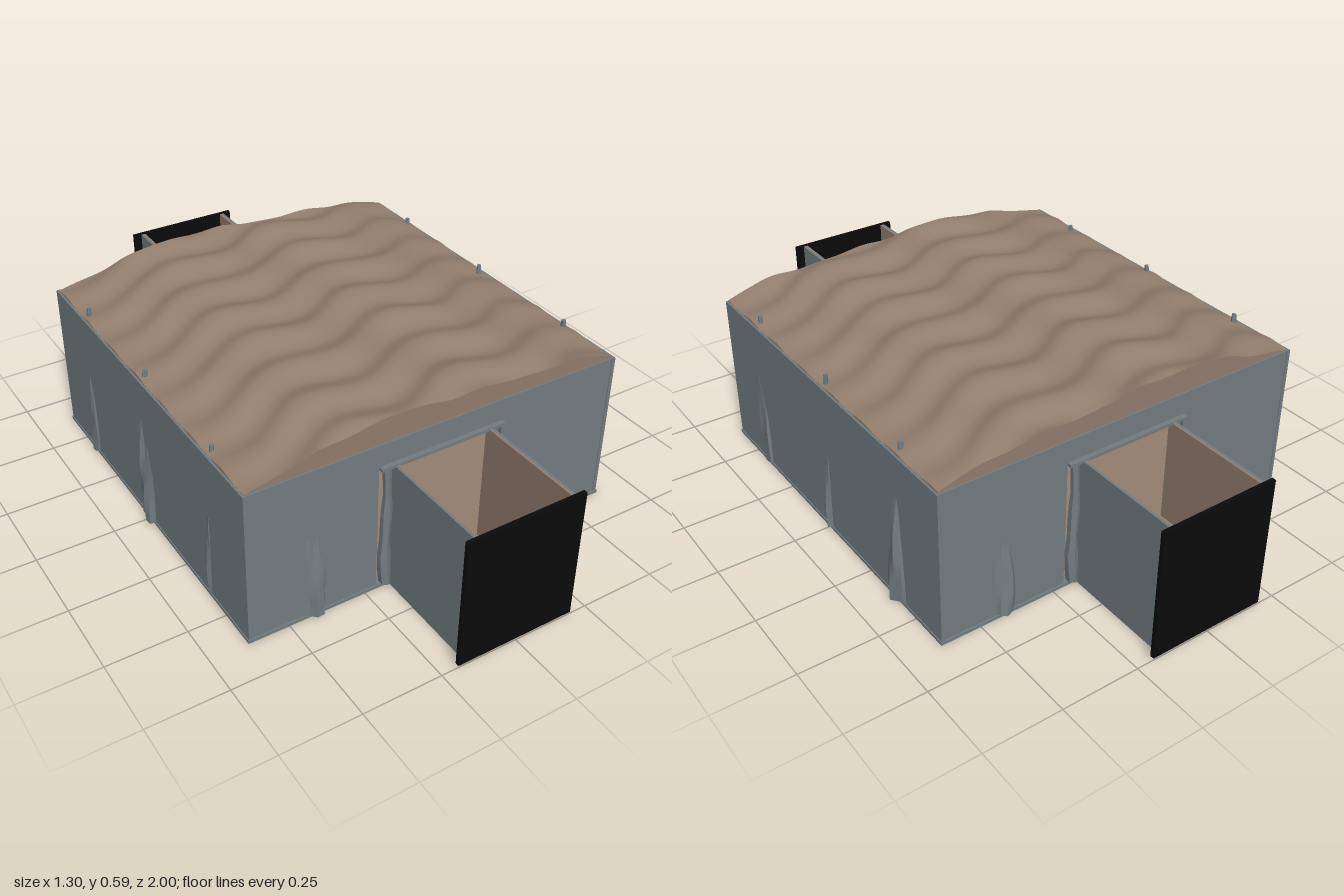
import * as THREE from 'three';
import { toCreasedNormals } from 'three/addons/utils/BufferGeometryUtils.js';

const mat = (name, color, side = THREE.FrontSide) => {
  const m = new THREE.MeshStandardMaterial({ color, side });
  m.name = name;
  return m;
};

export function createModel() {
  const stone = mat('grey stone', 0x727c80);
  const sand = mat('brown sand', 0x917d6d);
  const sandSheet = mat('brown sand sheet', 0x917d6d, THREE.DoubleSide);
  const black = mat('black door', 0x0b0b0b);
  const model = new THREE.Group();
  model.name = 'caveRoom';

  const add = (parent, name, geo, material, x = 0, y = 0, z = 0) => {
    const m = new THREE.Mesh(geo, material);
    m.name = name;
    m.position.set(x, y, z);
    parent.add(m);
    return m;
  };
  const box = (parent, name, material, x0, x1, y0, y1, z0, z1) =>
    add(parent, name, new THREE.BoxGeometry(x1 - x0, y1 - y0, z1 - z0), material,
      (x0 + x1) / 2, (y0 + y1) / 2, (z0 + z1) / 2);

  // Wall with a doorway notch, extruded along z
  const doorWall = (halfWidth) => {
    const s = new THREE.Shape();
    [[-halfWidth, 0.01], [-0.21, 0.01], [-0.21, 0.43], [0.21, 0.43], [0.21, 0.01],
      [halfWidth, 0.01], [halfWidth, 0.505], [-halfWidth, 0.505]]
      .forEach(([x, y], i) => (i ? s.lineTo(x, y) : s.moveTo(x, y)));
    return new THREE.ExtrudeGeometry(s, { depth: 0.01, bevelEnabled: false });
  };

  // Room floor and side walls, grey outside and brown inside
  box(model, 'roomBase', stone, -0.63, 0.63, 0, 0.01, -0.63, 0.63);
  box(model, 'roomFloor', sand, -0.605, 0.605, 0.01, 0.018, -0.605, 0.605);
  for (const s of [-1, 1]) {
    const side = new THREE.Group();
    side.name = s > 0 ? 'leftSide' : 'rightSide';
    side.rotation.y = s > 0 ? 0 : Math.PI;
    box(side, 'sideWall', stone, 0.615, 0.627, 0.01, 0.505, -0.627, 0.627);
    box(side, 'sideLining', sand, 0.605, 0.615, 0.01, 0.505, -0.615, 0.615);
    model.add(side);
  }

  // Doorway wall with its corridor; patches are [x, z, half width, half length]
  const makePortal = (name, patches) => {
    const g = new THREE.Group();
    g.name = name;
    add(g, 'doorWall', doorWall(0.615), stone, 0, 0, 0.615);
    add(g, 'doorLining', doorWall(0.605), sand, 0, 0, 0.605);
    box(g, 'corridorBase', stone, -0.168, 0.168, 0, 0.01, 0.63, 0.99);
    box(g, 'corridorFloor', sand, -0.155, 0.155, 0.01, 0.018, 0.605, 0.985);
    box(g, 'frameLintel', stone, -0.21, 0.21, 0.424, 0.434, 0.605, 0.64);
    for (const s of [-1, 1]) {
      const wall = (n, m, a, b) =>
        box(g, n, m, Math.min(s * a, s * b), Math.max(s * a, s * b), 0.01, 0.43, 0.625, 0.987);
      wall('corridorWall', stone, 0.16, 0.168);
      wall('corridorLining', sand, 0.153, 0.16);
      // Rough jamb post, flaring at the foot
      const post = new THREE.CylinderGeometry(0.012, 0.02, 0.42, 6, 8);
      const p = post.attributes.position;
      for (let i = 0; i < p.count; i++) {
        const y = p.getY(i);
        p.setX(i, p.getX(i) * (1 + 0.2 * Math.sin(y * 37)) + 0.003 * Math.sin(y * 19));
      }
      add(g, 'jambPost', toCreasedNormals(post, 0.6), stone, s * 0.183, 0.22, 0.625);
    }
    patches.forEach(([x, z, w, l]) => {
      const patch = add(g, 'floorPatch', new THREE.CircleGeometry(1, 16), stone, x, 0.0195, z);
      patch.rotation.x = -Math.PI / 2;
      patch.scale.set(w, l, 1);
    });
    box(g, 'doorPanel', black, -0.195, 0.195, 0.005, 0.432, 0.987, 1);
    model.add(g);
    return g;
  };
  makePortal('frontPortal', [[-0.07, 0.93, 0.035, 0.05], [0.13, 0.96, 0.025, 0.022],
    [-0.14, 0.97, 0.012, 0.014], [0.035, 0.968, 0.02, 0.014], [0.135, 0.665, 0.02, 0.03],
    [-0.09, 0.65, 0.025, 0.02]]);
  makePortal('backPortal', [[0.13, 0.96, 0.025, 0.022], [-0.065, 0.935, 0.035, 0.047],
    [0.04, 0.965, 0.02, 0.018], [-0.14, 0.95, 0.015, 0.03], [-0.135, 0.66, 0.018, 0.025],
    [-0.02, 0.65, 0.02, 0.02]]).rotation.y = Math.PI;

  // Domed, rippled sand roof; the outer ring drops as a skirt onto the walls
  const n = 90;
  const roof = new THREE.PlaneGeometry(2, 2, n, n).rotateX(-Math.PI / 2);
  const rp = roof.attributes.position;
  const edge = 1 - 2 / n;
  for (let i = 0; i < rp.count; i++) {
    const u = rp.getX(i), v = rp.getZ(i);
    const skirt = Math.max(Math.abs(u), Math.abs(v)) > 1 - 1 / n;
    const clamp = (t) => Math.max(-1, Math.min(1, t / edge));
    const x = clamp(u) * 0.62, z = clamp(v) * 0.62;
    const a = Math.abs(x / 0.62);
    const dome = 0.508 + 0.067 * (1 - a ** 2.6);
    const ripple = Math.sin(36 * z + 6 * x + 1.2 * Math.sin(15 * x))
      + 0.3 * Math.sin(19 * x - 11 * z);
    const y = Math.max(0.506, dome + 0.011 * (1 - 0.6 * a ** 4) * ripple);
    rp.setXYZ(i, x, skirt ? 0.5 : y, z);
  }
  add(model, 'sandRoof', toCreasedNormals(roof, 0.9), sandSheet);

  // Craggy stone spires standing along the walls and breaking through them
  const spire = (x, z, h, r, seed) => {
    const geo = new THREE.CylinderGeometry(0.006, r, h, 14, 14);
    const p = geo.attributes.position;
    for (let i = 0; i < p.count; i++) {
      const px = p.getX(i), py = p.getY(i), pz = p.getZ(i);
      const t = py / h + 0.5, ang = Math.atan2(pz, px);
      const k = 1 + 0.16 * Math.sin(3 * ang + seed + 4 * t) + 0.1 * Math.sin(5 * ang - 9 * t + seed * 2);
      const bulge = k * (1 + 0.35 * Math.sin(Math.PI * t));
      p.setXYZ(i, px * bulge, py, pz * bulge);
    }
    add(model, 'stoneSpire', toCreasedNormals(geo, 0.5), stone, x, 0.008 + h / 2, z);
  };
  [[0.602, -0.41, 0.53, 0.045], [0.602, 0, 0.53, 0.033], [0.602, 0.42, 0.53, 0.036],
    [-0.602, -0.41, 0.53, 0.034], [-0.602, 0, 0.53, 0.046], [-0.602, 0.41, 0.52, 0.03],
    [-0.42, 0.6, 0.46, 0.044], [0.385, 0.6, 0.4, 0.031],
    [0.42, -0.6, 0.44, 0.04], [-0.4, -0.6, 0.4, 0.03]]
    .forEach(([x, z, h, r], i) => spire(x, z, h, r, i * 1.7));

  return model;
}
